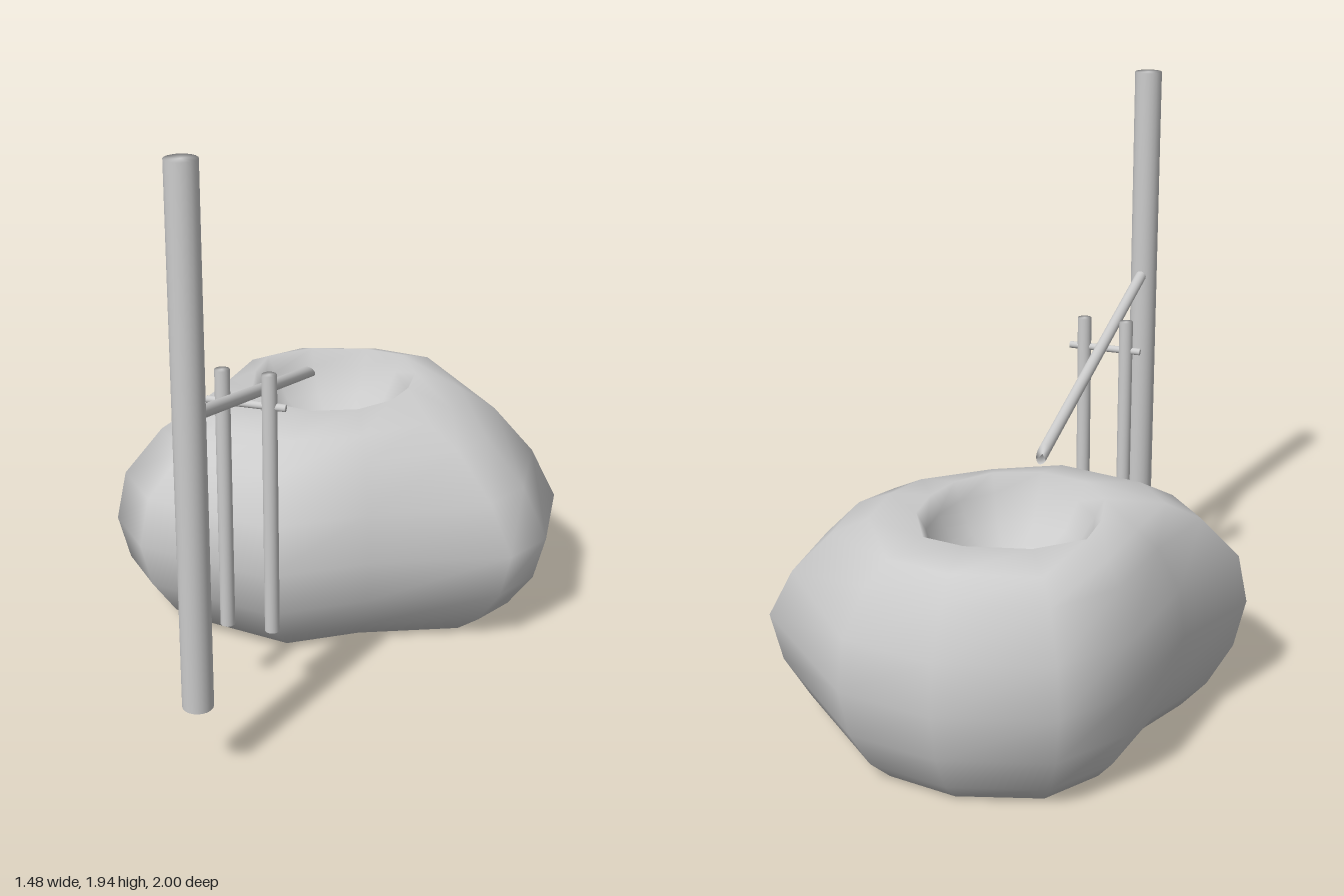
import * as THREE from 'three';
import { mergeVertices } from 'three/addons/utils/BufferGeometryUtils.js';

const material = new THREE.MeshStandardMaterial({ color: 0xcccccc });

// Widest outline of the boulder and matching rim of its basin, as [x, z]
const OUTLINE = [[-0.04, -1], [0.28, -0.95], [0.71, -0.57], [0.74, -0.22], [0.65, -0.05], [0.2, 0.13],
  [-0.1, 0.32], [-0.58, 0.23], [-0.74, 0.05], [-0.61, -0.27], [-0.56, -0.65], [-0.4, -0.89]];
const RIM = [[-0.04, -0.72], [0.1, -0.7], [0.19, -0.54], [0.2, -0.4], [0.17, -0.27], [0.08, -0.16],
  [-0.07, -0.1], [-0.23, -0.13], [-0.33, -0.24], [-0.37, -0.4], [-0.37, -0.55], [-0.24, -0.67]];
const CENTRE = [-0.07, -0.41];

function lerpRing(from, to, t, y) {
  return from.map(([x, z], i) => {
    const [u, v] = to ? to[i] : CENTRE;
    // the +x shoulder slopes inward sooner
    const k = to && x > 0.5 && t > 0 && t < 1 ? t + 0.1 : t;
    return [x + (u - x) * k, y, z + (v - z) * k];
  });
}

function boulderGeometry() {
  const rings = [
    // underside flare: [shrink, y]
    ...[[0.27, 0], [0.16, 0.07], [0.05, 0.2], [0, 0.36]].map(([t, y]) => lerpRing(OUTLINE, null, t, y)),
    // shoulder closing in to the rim
    ...[[0.07, 0.53], [0.34, 0.68], [0.59, 0.75], [1, 0.79]].map(([t, y]) => lerpRing(OUTLINE, RIM, t, y)),
    // hollow basin
    ...[[0.1, 0.73], [0.28, 0.64], [0.6, 0.57]].map(([t, y]) => lerpRing(RIM, null, t, y)),
  ];
  const n = OUTLINE.length;
  const points = rings.flat();
  const bottom = points.push([CENTRE[0], 0, CENTRE[1]]) - 1;
  const floor = points.push([CENTRE[0], 0.55, CENTRE[1]]) - 1;
  const index = [];
  for (let i = 0; i < n; i++) {
    const j = (i + 1) % n;
    for (let r = 0; r < rings.length - 1; r++) {
      const a = r * n + i, b = r * n + j, c = a + n, d = b + n;
      index.push(a, c, b, b, c, d);
    }
    const last = (rings.length - 1) * n;
    index.push(bottom, i, j, last + i, floor, last + j);
  }
  const g = new THREE.BufferGeometry();
  g.setAttribute('position', new THREE.Float32BufferAttribute(points.flat(), 3));
  g.setIndex(index);
  g.computeVertexNormals();
  return g;
}

// Closed rod between two points; slant shears the far end into a pointed spout
function rod(name, from, to, radius, slant = 0) {
  const a = new THREE.Vector3(...from), b = new THREE.Vector3(...to);
  const length = a.distanceTo(b);
  let g = new THREE.CylinderGeometry(radius, radius, length, 20);
  const p = g.attributes.position;
  for (let i = 0; i < p.count; i++) {
    if (p.getY(i) > 0) p.setY(i, p.getY(i) + slant * p.getZ(i) / radius);
  }
  g.deleteAttribute('uv');
  g.deleteAttribute('normal');
  g = mergeVertices(g);
  g.computeVertexNormals();
  const mesh = new THREE.Mesh(g, material);
  mesh.name = name;
  mesh.position.copy(a).add(b).multiplyScalar(0.5);
  mesh.quaternion.setFromUnitVectors(new THREE.Vector3(0, 1, 0), b.sub(a).normalize());
  return mesh;
}

export function createModel() {
  const model = new THREE.Group();
  model.name = 'bambooFountain';

  const boulder = new THREE.Mesh(boulderGeometry(), material);
  boulder.name = 'stoneBasin';
  model.add(boulder);

  // Tall supply pole
  const x = -0.105;
  model.add(rod('tallPole', [x, 0.26, 0.952], [x, 1.94, 0.952], 0.048));

  // Pair of support stakes with a cross pin
  for (const side of [-1, 1]) {
    const sx = x + side * 0.076;
    model.add(rod(side < 0 ? 'rightStake' : 'leftStake', [sx, 0.26, 0.47], [sx, 1.15, 0.47], 0.024));
  }
  model.add(rod('crossPin', [x - 0.128, 1.045, 0.47], [x + 0.128, 1.045, 0.47], 0.012));

  // Sloping spout; its underside reaches farther than its top
  const spout = rod('spout', [x, 1.19, 0.91], [x, 0.895, -0.195], 0.02, -0.03);
  // keep the long lip of the slanted cut underneath
  const lip = new THREE.Vector3(0, 0, -1).applyQuaternion(spout.quaternion);
  if (lip.y > 0) spout.rotateY(Math.PI);
  model.add(spout);

  return model;
}
